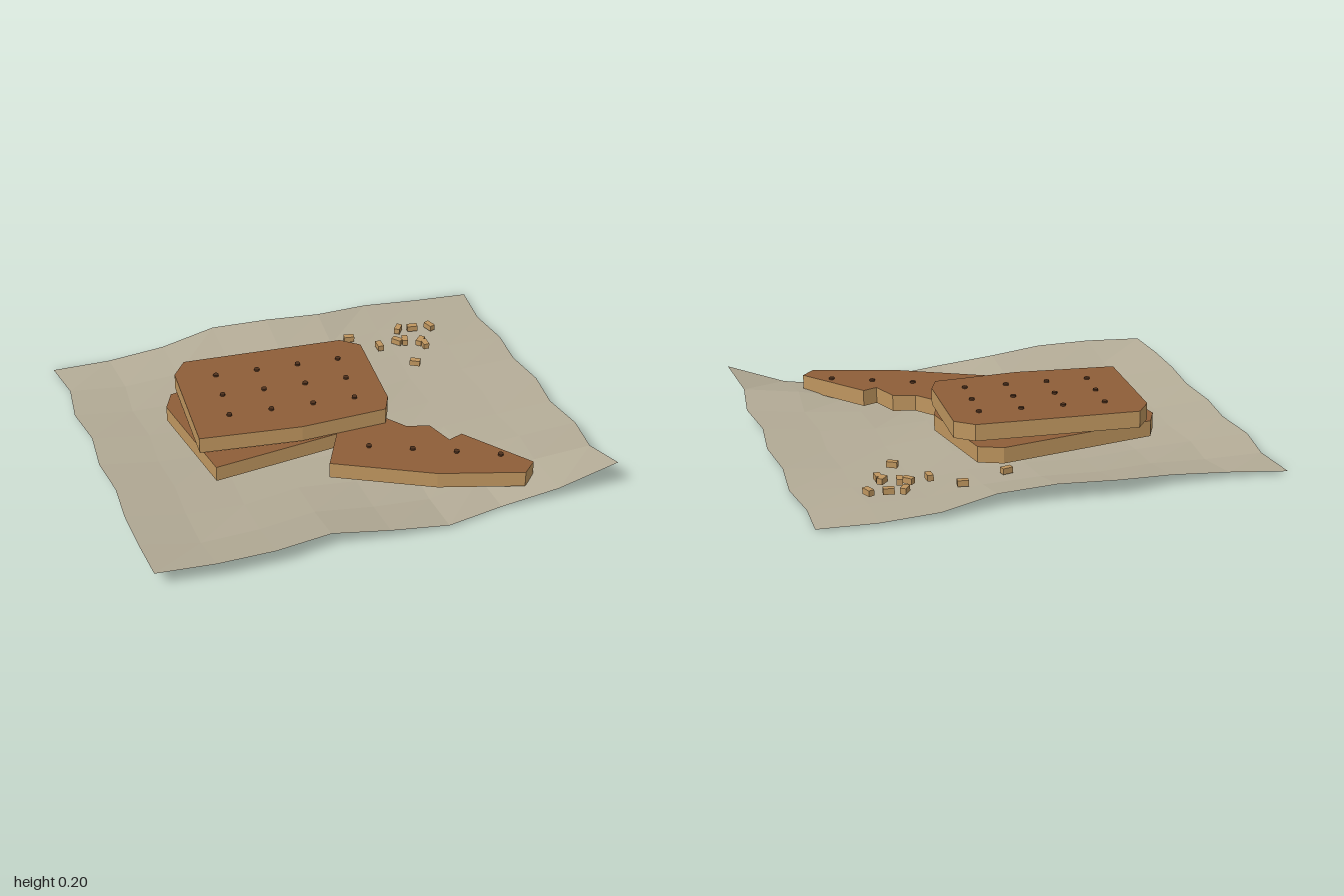
import * as THREE from 'three';

const crust = new THREE.MeshStandardMaterial({ color: 0x8e5e38 });
crust.name = 'bakedBrown';
const crumb = new THREE.MeshStandardMaterial({ color: 0xbf965f });
crumb.name = 'goldenCrumb';
const dark = new THREE.MeshStandardMaterial({ color: 0x4e301c });
dark.name = 'darkHole';
const cloth = new THREE.MeshStandardMaterial({ color: 0xb4ac97, side: THREE.DoubleSide });
cloth.name = 'linen';

// Flat slab from an [x, z] outline, with brown faces and golden sides
function slab(name, outline, y, height, holes) {
  const group = new THREE.Group();
  group.name = name;
  const shape = new THREE.Shape(outline.map(([x, z]) => new THREE.Vector2(x, -z)));
  const geo = new THREE.ExtrudeGeometry(shape, { depth: height, bevelEnabled: false });
  geo.rotateX(-Math.PI / 2);
  const body = new THREE.Mesh(geo, [crust, crumb]);
  body.name = name + 'Body';
  body.position.y = y;
  group.add(body);
  // Docking holes as thin dark discs
  const disc = new THREE.CylinderGeometry(0.012, 0.012, 0.008, 8);
  for (const [x, z] of holes) {
    const hole = new THREE.Mesh(disc, dark);
    hole.name = 'dockingHole';
    hole.position.set(x, y + height + 0.004, z);
    group.add(hole);
  }
  return group;
}

// Grid of holes, 4 x 3, slanted with its biscuit
function holeGrid(cx, cz, angle) {
  const list = [], c = Math.cos(angle), s = Math.sin(angle);
  for (let j = -1; j <= 1; j++) {
    for (let i = -1.5; i <= 1.5; i++) {
      const a = i * 0.181, b = j * 0.149;
      list.push([cx + a * c - b * s, cz + a * s + b * c]);
    }
  }
  return list;
}

// Rumpled napkin: wavy border, with the edge heights fading to the flat middle
function napkin() {
  const back = [0.015, 0.03, 0.05, 0.075, 0.08, 0.065, 0.035, 0.018, 0.015];
  const front = [0.085, 0.09, 0.09, 0.08, 0.05, 0.02, 0.02, 0.06, 0.15];
  const left = [0.015, 0.025, 0.035, 0.045, 0.05, 0.06, 0.07, 0.08, 0.085];
  const right = [0.015, 0.012, 0.02, 0.035, 0.05, 0.065, 0.08, 0.105, 0.15];
  const waveZ = [-0.025, 0.008, 0.012, -0.026, 0.002, 0.018, -0.022, -0.007, 0.02];
  const waveX = [-0.005, 0.022, -0.006, 0.02, 0.0, 0.018, 0.003, 0.005, 0.015];
  const waveRight = [-0.01, -0.025, 0, -0.02, 0, -0.025, 0, -0.03, 0];
  const sample = (row, t) => {
    const f = (t + 1) * 4, i = Math.min(7, Math.floor(f));
    return row[i] + (row[i + 1] - row[i]) * (f - i);
  };
  const geo = new THREE.PlaneGeometry(2, 2, 8, 8).rotateX(-Math.PI / 2);
  const p = geo.attributes.position;
  for (let k = 0; k < p.count; k++) {
    const u = p.getX(k), v = p.getZ(k);
    const i = Math.round((u + 1) * 4), j = Math.round((v + 1) * 4);
    const r = Math.max(Math.abs(u), Math.abs(v));
    const base = 0.011 + 0.009 * Math.sin(u * 5 + 1) * Math.cos(v * 4 + 0.5);
    let edge = base;
    if (r > 0) {
      if (Math.abs(v) >= Math.abs(u)) edge = sample(v < 0 ? back : front, u / r);
      else edge = sample(u < 0 ? left : right, v / r);
    }
    const side = u < 0 ? waveX[j] : waveRight[j];
    p.setXYZ(k, u * 0.995 + side * Math.abs(u), base + (edge - base) * r ** 3, v * 0.793 + waveZ[i]);
  }
  const flat = geo.toNonIndexed();
  flat.computeVertexNormals();
  const mesh = new THREE.Mesh(flat, cloth);
  mesh.name = 'napkin';
  return mesh;
}

export function createModel() {
  const model = new THREE.Group();
  model.name = 'biscuitsOnNapkin';
  model.add(napkin());

  // Two whole biscuits with clipped corners, stacked at slight angles
  model.add(slab('lowerBiscuit', [
    [-0.635, -0.245], [-0.59, -0.33], [0.1, -0.425], [0.2, -0.38],
    [0.262, 0.03], [0.21, 0.165], [-0.56, 0.235],
  ], 0.04, 0.07, holeGrid(-0.18, -0.095, -0.11)));
  model.add(slab('upperBiscuit', [
    [-0.565, -0.345], [-0.5, -0.425], [0.2, -0.355], [0.275, -0.29],
    [0.245, 0.12], [0.205, 0.2], [-0.17, 0.2], [-0.6, 0.135],
  ], 0.125, 0.073, holeGrid(-0.145, -0.1, 0.11)));

  // Broken piece with a jagged edge
  model.add(slab('brokenBiscuit', [
    [-0.115, 0.385], [0.0, 0.17], [0.2, 0.14], [0.28, 0.25], [0.375, 0.28],
    [0.415, 0.4], [0.48, 0.38], [0.685, 0.66], [0.625, 0.715], [0.28, 0.6],
  ], 0.052, 0.072, [[0.08, 0.33], [0.245, 0.41], [0.41, 0.49], [0.575, 0.57]]));

  // Scattered crumbs: x, z, turn in degrees
  const bit = new THREE.BoxGeometry(0.046, 0.026, 0.026);
  for (const [x, z, turn] of [
    [0.115, -0.5, 12], [0.325, -0.57, -10], [0.435, -0.465, 90], [0.565, -0.565, 52],
    [0.63, -0.555, -10], [0.71, -0.54, -70], [0.525, -0.475, -50], [0.56, -0.468, 75],
    [0.625, -0.44, 45], [0.635, -0.41, 90], [0.54, -0.29, -32],
  ]) {
    const mesh = new THREE.Mesh(bit, crumb);
    mesh.name = 'crumb';
    mesh.position.set(x, 0.043, z);
    mesh.rotation.y = THREE.MathUtils.degToRad(turn);
    model.add(mesh);
  }
  return model;
}
